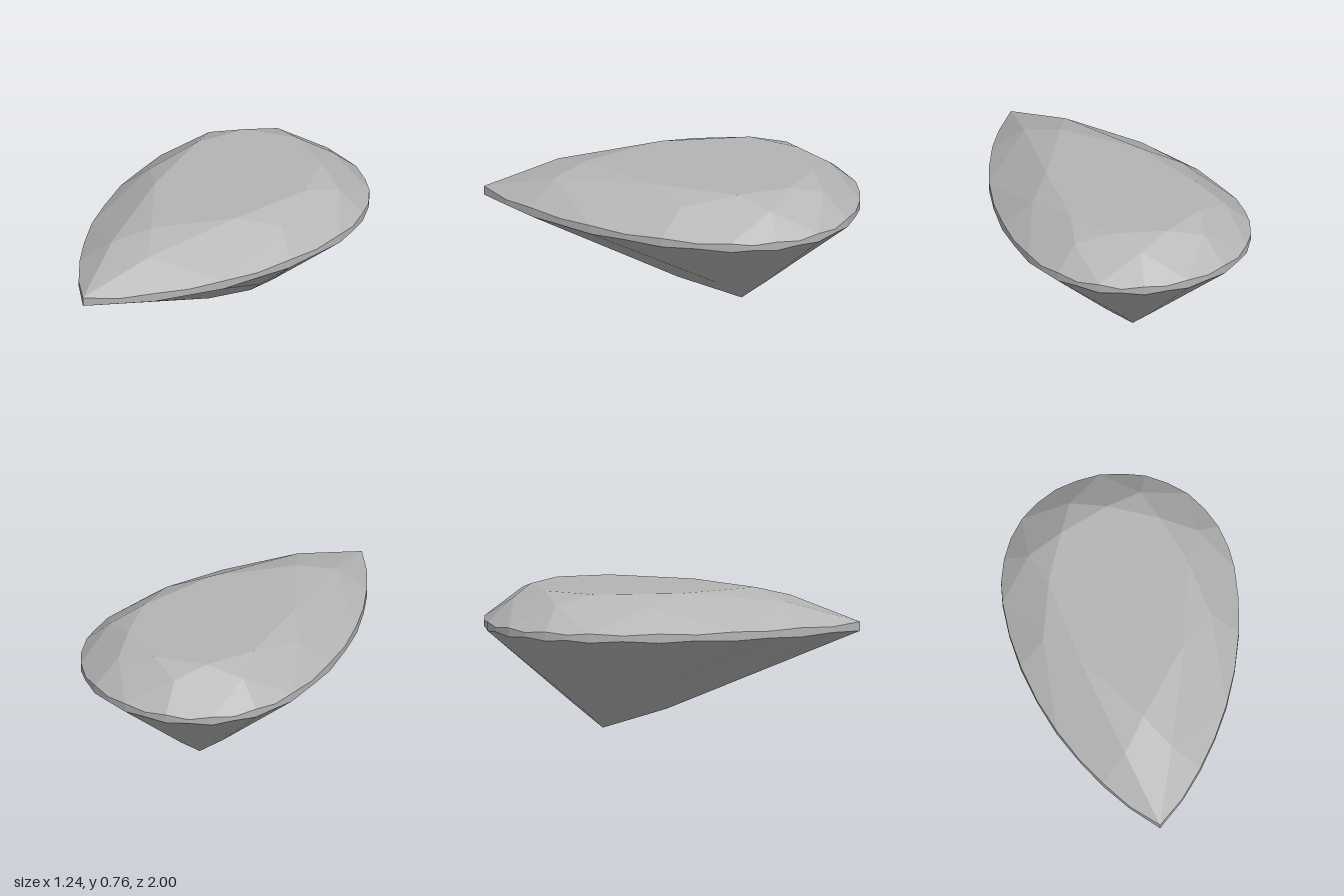
import * as THREE from 'three';

const V = (x, y, z) => new THREE.Vector3(x, y, z);

// Half outline of the pear shape, from the pointed tip round to the back [x, z]
const outline = [
  [0, 1], [0.14, 0.87], [0.26, 0.72], [0.365, 0.56], [0.455, 0.39], [0.53, 0.2],
  [0.585, 0], [0.615, -0.19], [0.622, -0.37], [0.61, -0.49], [0.575, -0.61],
  [0.52, -0.725], [0.445, -0.82], [0.35, -0.9], [0.24, -0.955], [0.125, -0.988], [0, -1],
];
const upper = outline.map(([x, z]) => V(x, 0.59, z));
const lower = outline.map(([x, z]) => V(x, 0.541, z));

// Table corners, star points, and the points where pavilion facets meet
const table = [[0, 0.445], [0.278, 0.08], [0.375, -0.38], [0.265, -0.645], [0, -0.755]]
  .map(([x, z]) => V(x, 0.765, z));
const star = [V(0.125, 0.71, 0.615), V(0.45, 0.711, -0.085), V(0.45, 0.711, -0.565), V(0.19, 0.719, -0.82)];
const culet = V(0, 0, -0.37);
const meet = [V(0, 0.107, -0.03), V(0.152, 0.14, -0.276), V(0.155, 0.126, -0.372),
  V(0.11, 0.125, -0.48), V(0, 0.125, -0.525)];

// Drop the odd girdle points onto the plane of the facet they border
function settle(points, i, apex) {
  const plane = new THREE.Plane().setFromCoplanarPoints(apex, points[i - 1], points[i + 1]);
  const p = points[i], n = plane.normal;
  p.y = -(plane.constant + n.x * p.x + n.z * p.z) / n.y;
}
for (let i = 1; i < 16; i += 2) {
  settle(upper, i, star[Math.floor(i / 4)]);
  settle(lower, i, meet[Math.round(i / 4)]);
}

// Flat polygons for one half, mirrored to the other
function facets(name, polygons, material) {
  const position = [], normal = [];
  for (const side of [1, -1]) {
    for (const polygon of polygons) {
      const pts = polygon.map((p) => V(p.x * side, p.y, p.z));
      if (side < 0) pts.reverse();
      const n = V(0, 0, 0);
      for (let i = 1; i < pts.length - 1; i++) {
        n.add(pts[i].clone().sub(pts[0]).cross(pts[i + 1].clone().sub(pts[0])));
      }
      n.normalize();
      for (let i = 1; i < pts.length - 1; i++) {
        for (const p of [pts[0], pts[i], pts[i + 1]]) {
          position.push(p.x, p.y, p.z);
          normal.push(n.x, n.y, n.z);
        }
      }
    }
  }
  const geometry = new THREE.BufferGeometry();
  geometry.setAttribute('position', new THREE.Float32BufferAttribute(position, 3));
  geometry.setAttribute('normal', new THREE.Float32BufferAttribute(normal, 3));
  const mesh = new THREE.Mesh(geometry, material);
  mesh.name = name;
  return mesh;
}

export function createModel() {
  const stone = new THREE.MeshStandardMaterial({ color: 0xb4b4b4 });
  stone.name = 'grey stone';

  const crown = [], girdle = [], pavilion = [];

  // Crown: kites, stars and upper halves
  for (let k = 0; k <= 4; k++) {
    const kite = [table[k]];
    if (k > 0) kite.push(star[k - 1]);
    kite.push(upper[4 * k]);
    if (k < 4) kite.push(star[k]);
    crown.push(kite);
  }
  for (let k = 0; k < 4; k++) {
    const g = 4 * k;
    crown.push([table[k], star[k], table[k + 1]]);
    crown.push([star[k], upper[g], upper[g + 1], upper[g + 2]]);
    crown.push([star[k], upper[g + 2], upper[g + 3], upper[g + 4]]);

    // Pavilion: mains and lower halves, facing down
    pavilion.push([culet, meet[k + 1], lower[g + 2], meet[k]]);
    pavilion.push([meet[k], lower[g + 2], lower[g + 1], lower[g]]);
    pavilion.push([meet[k + 1], lower[g + 4], lower[g + 3], lower[g + 2]]);
  }

  // Girdle: thin scalloped band
  for (let i = 0; i < 16; i++) {
    girdle.push([lower[i], lower[i + 1], upper[i + 1], upper[i]]);
  }

  const gem = new THREE.Group();
  gem.name = 'pearCutGem';
  gem.add(
    facets('table', [table], stone),
    facets('crown', crown, stone),
    facets('girdle', girdle, stone),
    facets('pavilion', pavilion, stone),
  );
  return gem;
}
